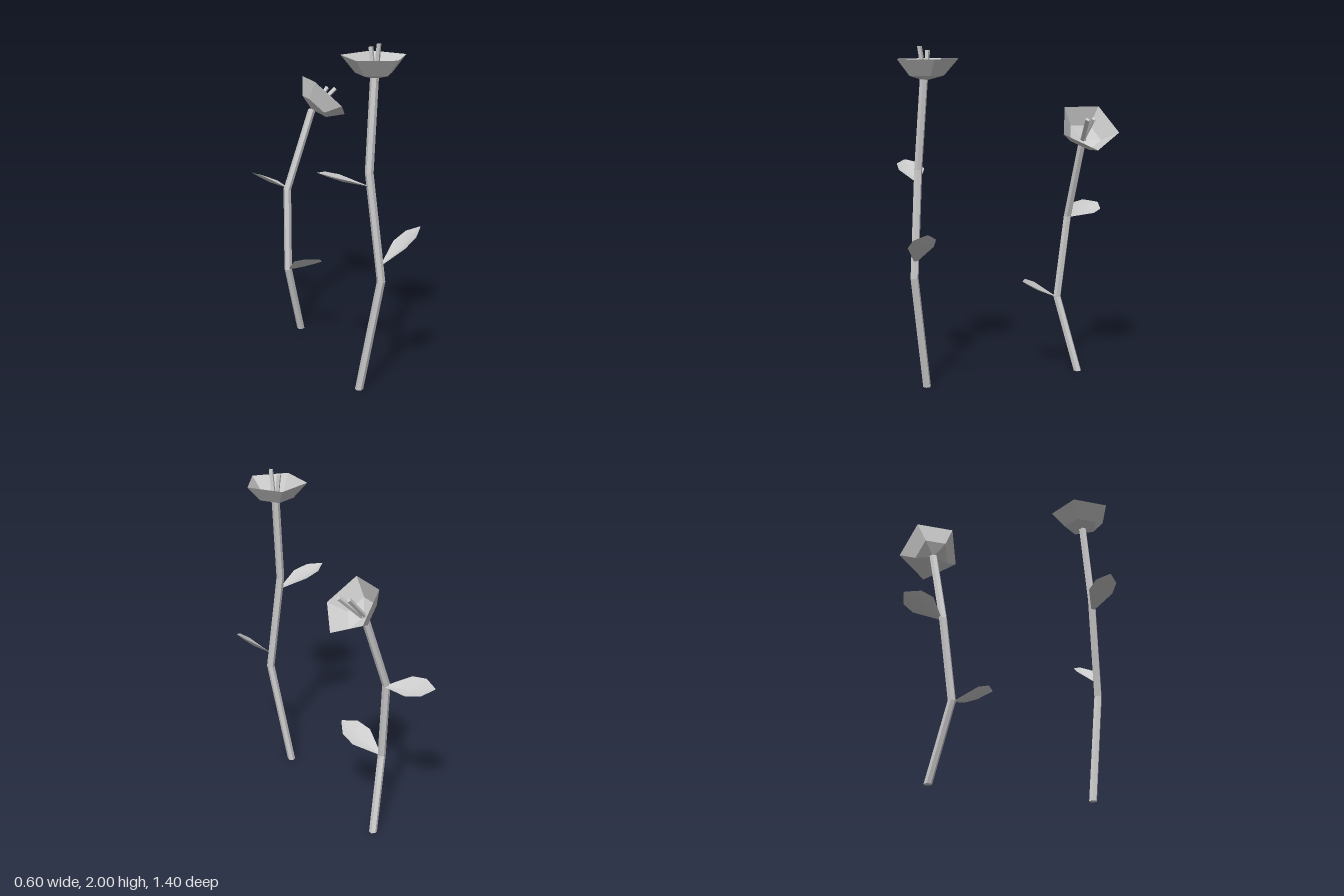
import * as THREE from 'three';

const flat = new THREE.MeshStandardMaterial({ color: 0xcccccc, flatShading: true });
const flatThin = new THREE.MeshStandardMaterial({ color: 0xcccccc, flatShading: true, side: THREE.DoubleSide });
const smoothThin = new THREE.MeshStandardMaterial({ color: 0xcccccc, side: THREE.DoubleSide });

function add(parent, name, geometry, material) {
  const mesh = new THREE.Mesh(geometry, material);
  mesh.name = name;
  parent.add(mesh);
  return mesh;
}

// Bent prism: each ring of a cylinder is moved to a point of the path
function rod(points, radius, sides) {
  const n = points.length - 1;
  const g = new THREE.CylinderGeometry(radius, radius, 1, sides, n);
  const p = g.attributes.position;
  for (let i = 0; i < p.count; i++) {
    const [x, y, z] = points[Math.round((p.getY(i) + 0.5) * n)];
    p.setXYZ(i, p.getX(i) + x, y, p.getZ(i) + z);
  }
  g.computeVertexNormals();
  return g;
}

// Cupped leaf: left edge, midrib and right edge at four stations from base to tip
function leaf(base, tip, side) {
  const b = new THREE.Vector3(...base);
  const axis = new THREE.Vector3(...tip).sub(b);
  const s = new THREE.Vector3(...side).normalize();
  const up = new THREE.Vector3().crossVectors(axis, s).normalize();
  if (up.y < 0) up.negate();
  const stations = [[0, 0.006, 0, 0], [0.49, 0.077, -0.012, 0.012], [0.78, 0.067, -0.008, 0.008], [1, 0.004, 0, 0]];
  const pos = [], index = [];
  stations.forEach(([t, halfWidth, rib, edge], i) => {
    for (const k of [-1, 0, 1]) {
      const v = b.clone().addScaledVector(axis, t).addScaledVector(s, k * halfWidth)
        .addScaledVector(up, k ? edge : rib);
      pos.push(v.x, v.y, v.z);
    }
    if (i < 3) for (const k of [0, 1]) {
      const a = i * 3 + k;
      index.push(a, a + 1, a + 3, a + 1, a + 4, a + 3);
    }
  });
  const g = new THREE.BufferGeometry();
  g.setAttribute('position', new THREE.Float32BufferAttribute(pos, 3));
  g.setIndex(index);
  g.computeVertexNormals();
  return g;
}

// Five-sided cup with two stamens
function blossom() {
  const group = new THREE.Group();
  group.name = 'blossom';
  const profile = [[0, 0], [0.105, 0.028], [0.187, 0.122]].map(p => new THREE.Vector2(...p));
  add(group, 'petalCup', new THREE.LatheGeometry(profile, 5, Math.PI / 2), flatThin);
  add(group, 'longStamen', rod([[0.008, 0.005, 0.006], [0.01, 0.192, 0.034]], 0.014, 4), flat);
  add(group, 'shortStamen', rod([[-0.002, 0.005, -0.004], [-0.013, 0.17, -0.02]], 0.014, 4), flat);
  return group;
}

function flower(name, path, tilt, head, leaves) {
  const group = new THREE.Group();
  group.name = name;
  add(group, 'stem', rod(path, 0.024, 6), flat);
  const b = blossom();
  b.position.set(...head);
  b.rotation.z = tilt;
  group.add(b);
  leaves.forEach(l => add(group, 'leaf', leaf(...l), smoothThin));
  return group;
}

export function createModel() {
  const model = new THREE.Group();
  model.name = 'flowers';
  // Upright flower at the front
  model.add(flower('tallFlower',
    [[-0.03, 0, 0.505], [0.058, 0.68, 0.598], [0, 1.3, 0.552], [0.038, 1.82, 0.523]],
    0, [0.04, 1.808, 0.516],
    [[[0.06, 0.775, 0.592], [0.298, 0.97, 0.588], [0, 0, 1]],
      [[0, 1.225, 0.555], [-0.3, 1.33, 0.548], [0, 0, 1]]]));
  // Leaning flower at the back
  model.add(flower('shortFlower',
    [[-0.03, 0, -0.467], [-0.145, 0.455, -0.375], [-0.125, 0.96, -0.432], [0.05, 1.45, -0.453]],
    -Math.PI / 4, [0.05, 1.447, -0.453],
    [[[-0.11, 0.96, -0.44], [-0.27, 1.015, -0.7], [0.107, -0.055, -0.085]],
      [[-0.14, 0.455, -0.365], [-0.035, 0.59, -0.103], [0.155, -0.05, -0.035]]]));
  return model;
}
